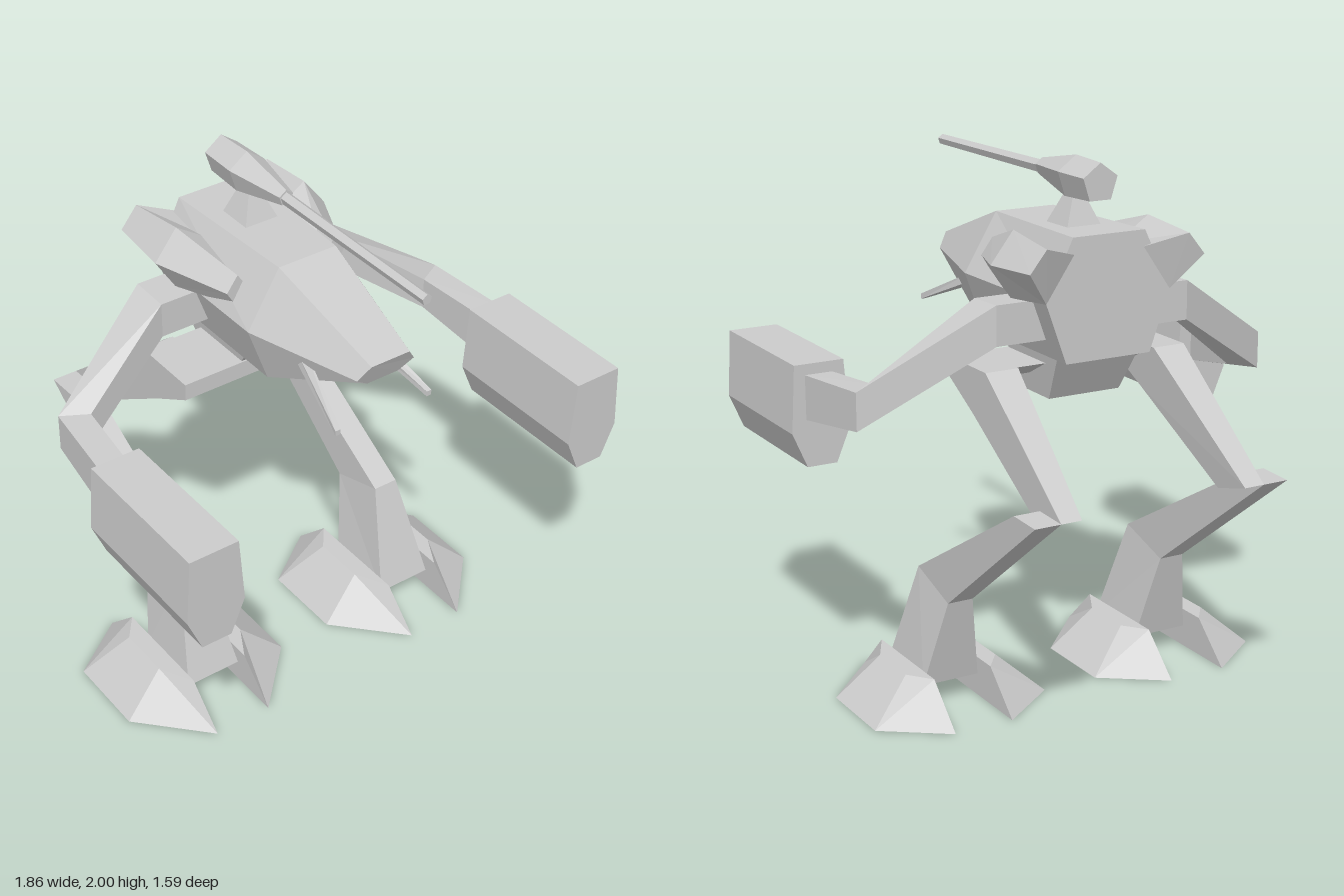
import * as THREE from 'three';

const material = new THREE.MeshStandardMaterial({ color: 0xcccccc, flatShading: true });

// Closed solid through matching rings of [x, y, z] points, wound outward by its signed volume.
function loft(rings) {
  const tris = [];
  const n = rings[0].length;
  for (let r = 0; r < rings.length - 1; r++) {
    for (let i = 0; i < n; i++) {
      const j = (i + 1) % n;
      const a = rings[r][i], b = rings[r][j], c = rings[r + 1][j], d = rings[r + 1][i];
      tris.push([a, b, c], [a, c, d]);
    }
  }
  const first = rings[0], last = rings[rings.length - 1];
  for (let i = 1; i < n - 1; i++) {
    tris.push([first[0], first[i + 1], first[i]], [last[0], last[i], last[i + 1]]);
  }
  let volume = 0;
  const origin = new THREE.Vector3(...first[0]);
  for (const t of tris) {
    const [a, b, c] = t.map((p) => new THREE.Vector3(...p).sub(origin));
    volume += a.dot(b.cross(c));
  }
  if (volume < 0) tris.forEach((t) => t.reverse());
  const geometry = new THREE.BufferGeometry();
  geometry.setAttribute('position', new THREE.Float32BufferAttribute(tris.flat(2), 3));
  geometry.computeVertexNormals();
  return geometry;
}

// Ring helpers
const atZ = (z, pts) => pts.map(([x, y]) => [x, y, z]);
const atY = (y, x0, x1, z0, z1) => [[x0, y, z0], [x1, y, z0], [x1, y, z1], [x0, y, z1]];
const atX = (x, pts) => pts.map(([z, y]) => [x, y, z]);
const pentagon = (z, y, r) => atZ(z, Array.from({ length: 5 }, (_, i) => {
  const a = (i * Math.PI * 2) / 5;
  return [Math.sin(a) * r, y + Math.cos(a) * r];
}));
const hexagon = (z, top, topY, mid, midY, low, lowY) => atZ(z, [
  [-top, topY], [top, topY], [mid, midY], [low, lowY], [-low, lowY], [-mid, midY],
]);

export function createModel() {
  const model = new THREE.Group();

  const add = (name, rings, parent = model) => {
    const mesh = new THREE.Mesh(loft(rings), material);
    mesh.name = name;
    parent.add(mesh);
  };

  // Hull, tapering to a blunt nose
  const hull = [
    hexagon(0.62, 0.08, 1.595, 0.12, 1.54, 0.065, 1.5),
    hexagon(0.16, 0.12, 1.755, 0.25, 1.54, 0.17, 1.32),
    hexagon(-0.42, 0.145, 1.76, 0.25, 1.54, 0.17, 1.32),
  ];
  hull[0].forEach((p) => { p[2] = p[1] > 1.57 ? 0.63 : p[1] > 1.52 ? 0.605 : 0.59; });
  add('hull', hull);

  // Pelvis and hip bar
  add('pelvis', [atY(1.33, -0.17, 0.17, 0.02, -0.36), atY(1.155, -0.145, 0.145, -0.1, -0.26)]);
  add('hipBar', [atY(1.29, -0.3, 0.3, 0, -0.27), atY(1.225, -0.3, 0.3, 0, -0.14)]);

  // Turret with its neck and long barrel
  add('turretNeck', [atY(1.74, -0.075, 0.075, -0.105, -0.26), atY(1.87, -0.02, 0.02, -0.16, -0.215)]);
  add('turret', [pentagon(0.035, 1.927, 0.03), pentagon(-0.2, 1.922, 0.078), pentagon(-0.36, 1.922, 0.072)]);
  add('barrel', [pentagon(0.8, 1.922, 0.02), pentagon(0.02, 1.925, 0.024)]);

  for (const [label, s] of [['left', 1], ['right', -1]]) {
    const side = new THREE.Group();
    side.name = label + 'Side';
    model.add(side);
    const part = (name, rings) =>
      add(name, rings.map((ring) => ring.map(([x, y, z]) => [x * s, y, z])), side);

    // Shoulder pod set diagonally against the hull
    part('shoulderPod', [
      atZ(0.035, [[0.205, 1.69], [0.25, 1.63], [0.21, 1.565], [0.165, 1.63]]),
      atZ(-0.24, [[0.275, 1.77], [0.365, 1.655], [0.285, 1.53], [0.14, 1.68]]),
      [[0.285, 1.745, -0.485], [0.35, 1.665, -0.485], [0.25, 1.54, -0.42], [0.14, 1.7, -0.42]],
    ]);

    // Small probe under the nose
    part('probe', [
      atZ(0.28, [[0.105, 1.505], [0.145, 1.515], [0.15, 1.48], [0.11, 1.47]]),
      atZ(0.605, [[0.185, 1.37], [0.205, 1.37], [0.205, 1.35], [0.185, 1.35]]),
    ]);

    // Arm: shoulder stub, upper arm and forearm in one bent beam
    const shoulder = [[-0.17, 1.53], [-0.325, 1.535], [-0.325, 1.39], [-0.17, 1.395]];
    part('arm', [
      atX(0.15, shoulder),
      atX(0.39, shoulder),
      [[0.74, 1.25, -0.095], [0.84, 1.25, -0.15], [0.84, 1.11, -0.15], [0.74, 1.125, -0.095]],
      atZ(0.2, [[0.77, 1.235], [0.875, 1.235], [0.875, 1.07], [0.77, 1.07]]),
    ]);

    // Six-sided gun pod
    const gun = [[0.725, 1.275], [0.915, 1.275], [0.93, 1.025], [0.875, 0.895], [0.76, 0.895], [0.705, 1.025]];
    part('gunPod', [atZ(0.79, gun), atZ(0.195, gun)]);

    // Thigh sloping back to the knee
    part('thigh', [
      [[0.28, 1.29, 0], [0.41, 1.29, 0], [0.41, 1.225, 0], [0.28, 1.225, 0]],
      [[0.28, 1.29, -0.28], [0.41, 1.29, -0.28], [0.41, 1.12, -0.19], [0.29, 1.12, -0.19]],
      [[0.33, 0.895, -0.79], [0.41, 0.895, -0.79], [0.41, 0.85, -0.63], [0.33, 0.85, -0.63]],
    ]);

    // Shin running forward, then flaring down to the ankle
    part('shin', [
      [[0.41, 0.9, -0.65], [0.51, 0.9, -0.65], [0.51, 0.895, -0.79], [0.41, 0.895, -0.79]],
      [[0.405, 0.49, 0.07], [0.505, 0.49, 0.07], [0.505, 0.42, -0.16], [0.405, 0.42, -0.16]],
      atY(0.085, 0.345, 0.57, 0.205, -0.08),
    ]);

    // Two half-feet, flat toward the ankle and sloped outward
    for (const [name, x, d] of [['outerFoot', 0.575, 1], ['innerFoot', 0.345, -1]]) {
      part(name, [
        [[x, 0, 0.405], [x + 0.235 * d, 0, 0.16], [x + 0.235 * d, 0, -0.17], [x, 0, -0.34]],
        [[x, 0.15, 0.25], [x + 0.07 * d, 0.15, 0.12], [x + 0.07 * d, 0.15, -0.09], [x, 0.15, -0.18]],
      ]);
    }
  }

  return model;
}
